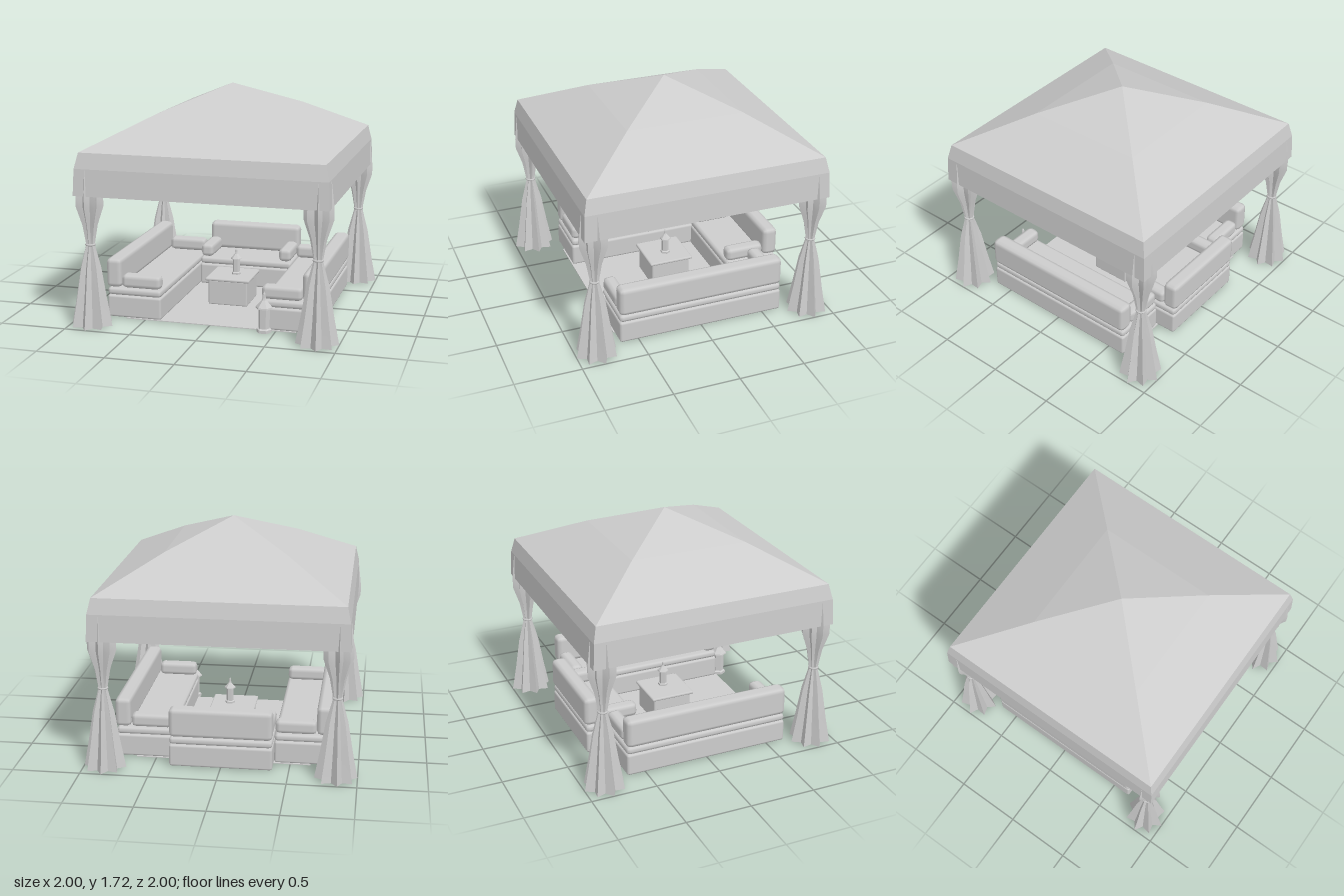
import * as THREE from 'three';
import { toCreasedNormals } from 'three/addons/utils/BufferGeometryUtils.js';
import { RoundedBoxGeometry } from 'three/addons/geometries/RoundedBoxGeometry.js';

const grey = new THREE.MeshStandardMaterial({ color: 0xcccccc, side: THREE.DoubleSide });
grey.name = 'plain grey';

function add(parent, name, geometry, x = 0, y = 0, z = 0) {
  const mesh = new THREE.Mesh(geometry, grey);
  mesh.name = name;
  mesh.position.set(x, y, z);
  parent.add(mesh);
  return mesh;
}

function group(parent, name) {
  const g = new THREE.Group();
  g.name = name;
  parent.add(g);
  return g;
}

const points = (list) => list.map(([r, y]) => new THREE.Vector2(r, y));

// Flat-sided turned shape
function facetedLathe(profile, sides, phase) {
  const g = new THREE.LatheGeometry(points(profile), sides, phase).toNonIndexed();
  g.computeVertexNormals();
  return g;
}

// Soft block given by its min and max corners
function pad(parent, name, [x0, x1], [y0, y1], [z0, z1], radius) {
  const g = new RoundedBoxGeometry(x1 - x0, y1 - y0, z1 - z0, 1, radius);
  return add(parent, name, g, (x0 + x1) / 2, (y0 + y1) / 2, (z0 + z1) / 2);
}

// Sofa lying along x, its back towards -z
function sofa(parent, name, length) {
  const s = group(parent, name);
  const h = length / 2;
  pad(s, 'sofaBase', [-h, h], [0.003, 0.172], [-0.8, -0.38], 0.018);
  pad(s, 'seatCushion', [-h, h], [0.172, 0.23], [-0.8, -0.38], 0.026);
  pad(s, 'backrest', [-h, h], [0.23, 0.452], [-0.81, -0.69], 0.035);
  for (const side of [-1, 1]) {
    const x = side * (h - 0.055);
    pad(s, 'bolster', [x - 0.052, x + 0.052], [0.23, 0.335], [-0.69, -0.385], 0.034);
  }
  return s;
}

// Gathered curtain: eight sharp pleats, pinched at the tie
function curtainGeometry() {
  const profile = points([
    [0.156, 0], [0.118, 0.2], [0.08, 0.43], [0.036, 0.595], [0.036, 0.625], [0.06, 0.76],
    [0.107, 0.9], [0.107, 0.98], [0.086, 1.16], [0.05, 1.285],
  ]);
  const g = new THREE.LatheGeometry(profile, 16);
  const p = g.attributes.position;
  for (let i = 0; i < p.count; i++) {
    const valley = Math.floor(i / profile.length) % 2 === 1;
    if (valley) p.setXYZ(i, p.getX(i) * 0.66, p.getY(i), p.getZ(i) * 0.66);
  }
  return toCreasedNormals(g, 0.6);
}

// Six-sided lantern with a pointed cap
function lantern(parent, name, x, y, z, scale) {
  const l = group(parent, name);
  add(l, 'lanternBody', facetedLathe([
    [0, 0], [0.056, 0], [0.056, 0.022], [0.042, 0.03], [0.042, 0.175], [0.064, 0.18],
    [0.062, 0.19], [0.018, 0.24], [0.012, 0.255], [0.01, 0.285], [0, 0.305],
  ], 6, Math.PI / 6));
  l.position.set(x, y, z);
  l.scale.setScalar(scale);
}

export function createModel() {
  const model = new THREE.Group();
  model.name = 'gardenPavilion';

  // Canopy: two-pitch roof and hanging valance
  const R = Math.SQRT2;
  const canopy = group(model, 'canopy');
  add(canopy, 'roof', facetedLathe([[0.9 * R, 1.295], [0.45 * R, 1.53], [0, 1.72]], 4, Math.PI / 4));
  add(canopy, 'valance', facetedLathe([[0.935 * R, 0.983], [0.926 * R, 1.18], [0.9 * R, 1.295]], 4, Math.PI / 4));

  // Frame: thin eaves beams and corner poles
  const frame = group(model, 'frame');
  for (const side of [-1, 1]) {
    add(frame, 'eavesBeam', new THREE.BoxGeometry(1.72, 0.025, 0.025), 0, 1.265, side * 0.848);
    add(frame, 'eavesBeam', new THREE.BoxGeometry(0.025, 0.025, 1.72), side * 0.848, 1.265, 0);
  }

  // Corner curtains, each turned a little differently
  const cloth = curtainGeometry();
  const corners = [[-1, 1, 0], [1, 1, 0.13], [1, -1, 0], [-1, -1, 0.1]];
  for (const [sx, sz, turn] of corners) {
    const c = group(model, 'cornerCurtain');
    c.position.set(sx * 0.844, 0, sz * 0.844);
    add(c, 'pole', new THREE.CylinderGeometry(0.015, 0.015, 1.28, 8), 0, 0.64, 0);
    add(c, 'curtain', cloth).rotation.y = turn;
    const tie = add(c, 'tieBand', new THREE.TorusGeometry(0.032, 0.008, 6, 16), 0, 0.61, 0);
    tie.rotation.x = Math.PI / 2;
  }

  // Seating on three sides
  sofa(model, 'backSofa', 0.76);
  sofa(model, 'leftSofa', 1.29).rotation.y = -Math.PI / 2;
  sofa(model, 'rightSofa', 1.29).rotation.y = Math.PI / 2;

  // Floor mat
  add(model, 'floorMat', new THREE.BoxGeometry(1.3, 0.006, 1.3), 0, 0.003, 0);

  // Low table
  const table = group(model, 'table');
  pad(table, 'tableBody', [-0.155, 0.155], [0.003, 0.2], [-0.155, 0.155], 0.012);
  pad(table, 'tableTop', [-0.175, 0.175], [0.196, 0.22], [-0.175, 0.175], 0.011);

  // Lanterns
  lantern(model, 'tableLantern', 0.03, 0.219, 0, 0.68);
  lantern(model, 'floorLantern', 0.422, 0.002, 0.687, 1);

  return model;
}
